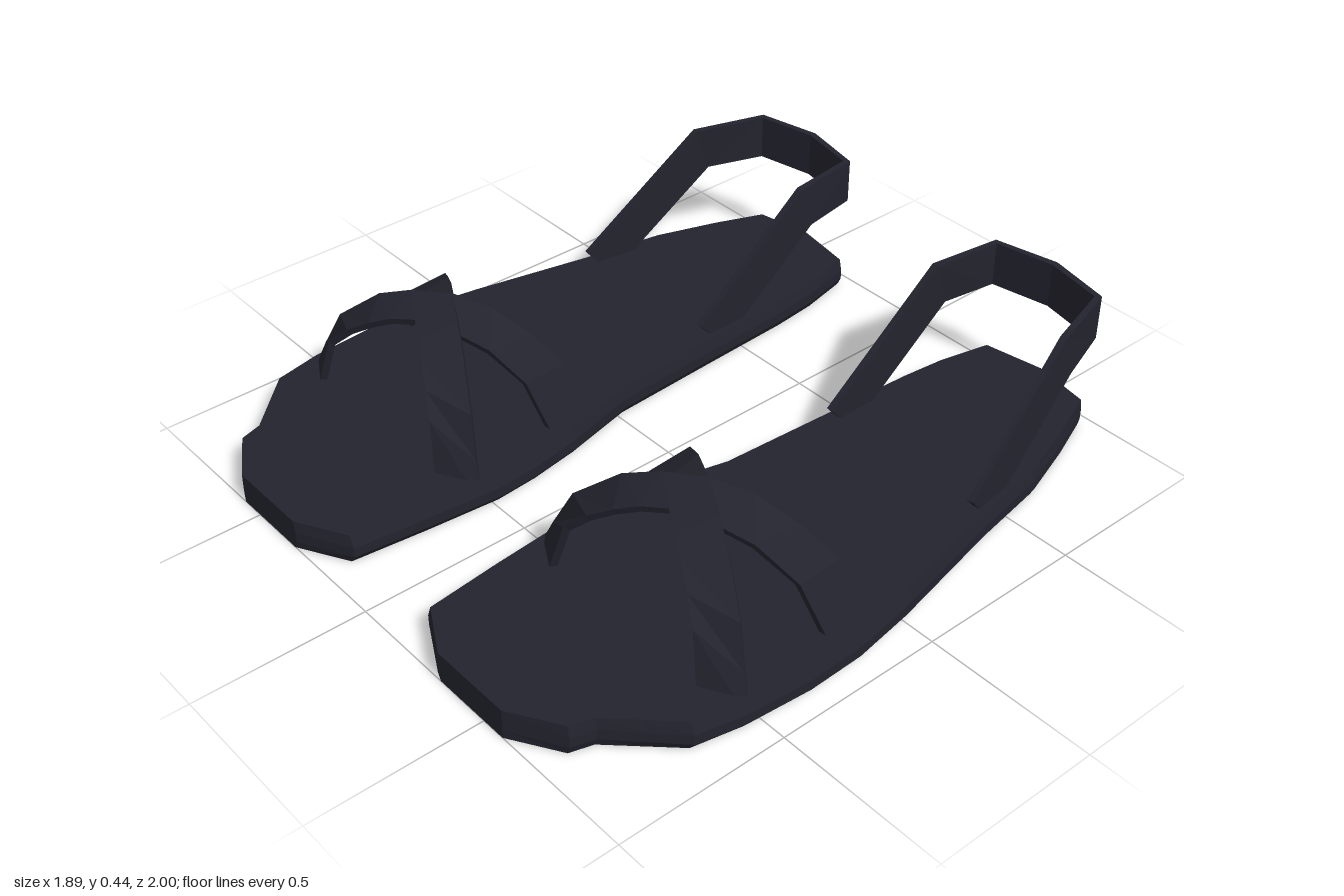
import * as THREE from 'three';

// Sole outline of the left sandal as [x, z], from heel round the outer side to the toe and back
const OUTLINE = [
  [0.48, -0.985], [0.66, -0.955], [0.72, -0.81], [0.785, -0.62], [0.83, -0.37], [0.91, 0], [0.94, 0.19],
  [0.945, 0.36], [0.93, 0.55], [0.9, 0.69], [0.82, 0.77], [0.74, 0.85], [0.72, 0.915], [0.575, 1],
  [0.315, 1], [0.165, 0.92], [0.14, 0.7], [0.12, 0.48], [0.13, 0.35], [0.155, 0.2], [0.21, -0.02],
  [0.23, -0.37], [0.245, -0.66], [0.26, -0.8], [0.295, -0.955],
];

// Sole layers as [height, width factor]: slightly bulging side wall
const LAYERS = [[0, 0.95], [0.025, 1], [0.055, 1], [0.09, 0.965]];

// Front strap edges as [x, y]
const REAR_EDGE = [[0.125, 0.04], [0.165, 0.14], [0.215, 0.25], [0.33, 0.35], [0.42, 0.385],
  [0.535, 0.4], [0.63, 0.38], [0.73, 0.32], [0.82, 0.24], [0.89, 0.07]];
const FRONT_EDGE = [[0.24, 0.06], [0.285, 0.23], [0.34, 0.285], [0.4, 0.325], [0.46, 0.355],
  [0.53, 0.37], [0.62, 0.36], [0.72, 0.32], [0.82, 0.23], [0.89, 0.07]];

// Closed, faceted solid through a list of rings; winding is corrected by its signed volume
function loft(rings) {
  const n = rings[0].length;
  const tris = [];
  for (let i = 0; i < rings.length - 1; i++) {
    for (let j = 0; j < n; j++) {
      const k = (j + 1) % n;
      const [a, b, c, d] = [rings[i][j], rings[i][k], rings[i + 1][k], rings[i + 1][j]];
      tris.push([a, b, c], [a, c, d]);
    }
  }
  const cap = (ring, flip) => {
    const mid = ring.reduce((s, p) => s.add(p), new THREE.Vector3()).divideScalar(n);
    ring.forEach((p, j) => {
      const q = ring[(j + 1) % n];
      tris.push(flip ? [mid, q, p] : [mid, p, q]);
    });
  };
  cap(rings[0], true);
  cap(rings[rings.length - 1], false);
  const volume = tris.reduce((s, [a, b, c]) => s + a.dot(b.clone().cross(c)), 0);
  if (volume < 0) tris.forEach((t) => t.reverse());
  const geo = new THREE.BufferGeometry().setFromPoints(tris.flat());
  geo.computeVertexNormals();
  return geo;
}

// Strap with thickness between two edge lines, thickened towards a centre point
function strap(edgeA, edgeB, centre, thickness = 0.02) {
  const rings = edgeA.map((a, i) => {
    const b = edgeB[i];
    const lo = Math.max(i - 1, 0);
    const hi = Math.min(i + 1, edgeA.length - 1);
    const along = edgeA[hi].clone().sub(edgeA[lo]).add(edgeB[hi]).sub(edgeB[lo]);
    const inward = along.cross(b.clone().sub(a)).normalize();
    if (inward.dot(centre.clone().sub(a)) < 0) inward.negate();
    inward.multiplyScalar(thickness);
    return [a, b, b.clone().add(inward), a.clone().add(inward)];
  });
  return loft(rings);
}

function sandal(side, material) {
  const group = new THREE.Group();
  const v = (x, y, z) => new THREE.Vector3(side * x, y, z);
  const add = (name, geo) => {
    const mesh = new THREE.Mesh(geo, material);
    mesh.name = name;
    group.add(mesh);
  };

  // Sole
  add('sole', loft(LAYERS.map(([y, k]) => OUTLINE.map(([x, z]) => v(0.53 + (x - 0.53) * k, y, z)))));

  // Two crossing straps over the toes, one the mirror of the other
  const under = v(0.53, 0, 0.36);
  const mirror = (x) => 1.055 - x + Math.max(0, x - 0.7) * 0.15;
  for (const [name, place] of [['innerToeStrap', (x) => x], ['outerToeStrap', mirror]]) {
    const rear = REAR_EDGE.map(([x, y]) => v(place(x), y, 0.55 - 0.562 * (x - 0.125)));
    const front = FRONT_EDGE.map(([x, y]) => v(place(x), y, 0.61 - 0.554 * (x - 0.24)));
    add(name, strap(rear, front, under));
  }

  // Sling strap rising from the sides and passing behind the heel
  const top = [v(0.8, 0.13, -0.35), v(0.74, 0.44, -0.735), v(0.67, 0.44, -0.96), v(0.48, 0.44, -1),
    v(0.29, 0.44, -0.96), v(0.26, 0.44, -0.735), v(0.26, 0.13, -0.35)];
  const bottom = [v(0.79, 0.03, -0.435), v(0.735, 0.305, -0.78), v(0.67, 0.305, -0.96), v(0.48, 0.305, -1),
    v(0.29, 0.305, -0.96), v(0.26, 0.305, -0.78), v(0.26, 0.03, -0.435)];
  add('heelStrap', strap(top, bottom, v(0.5, 0.3, -0.6)));
  return group;
}

export function createModel() {
  const model = new THREE.Group();
  model.name = 'sandals';
  const material = new THREE.MeshStandardMaterial({ color: 0x23232e });
  material.name = 'darkLeather';
  for (const [name, side] of [['leftSandal', 1], ['rightSandal', -1]]) {
    const shoe = sandal(side, material);
    shoe.name = name;
    model.add(shoe);
  }
  return model;
}
